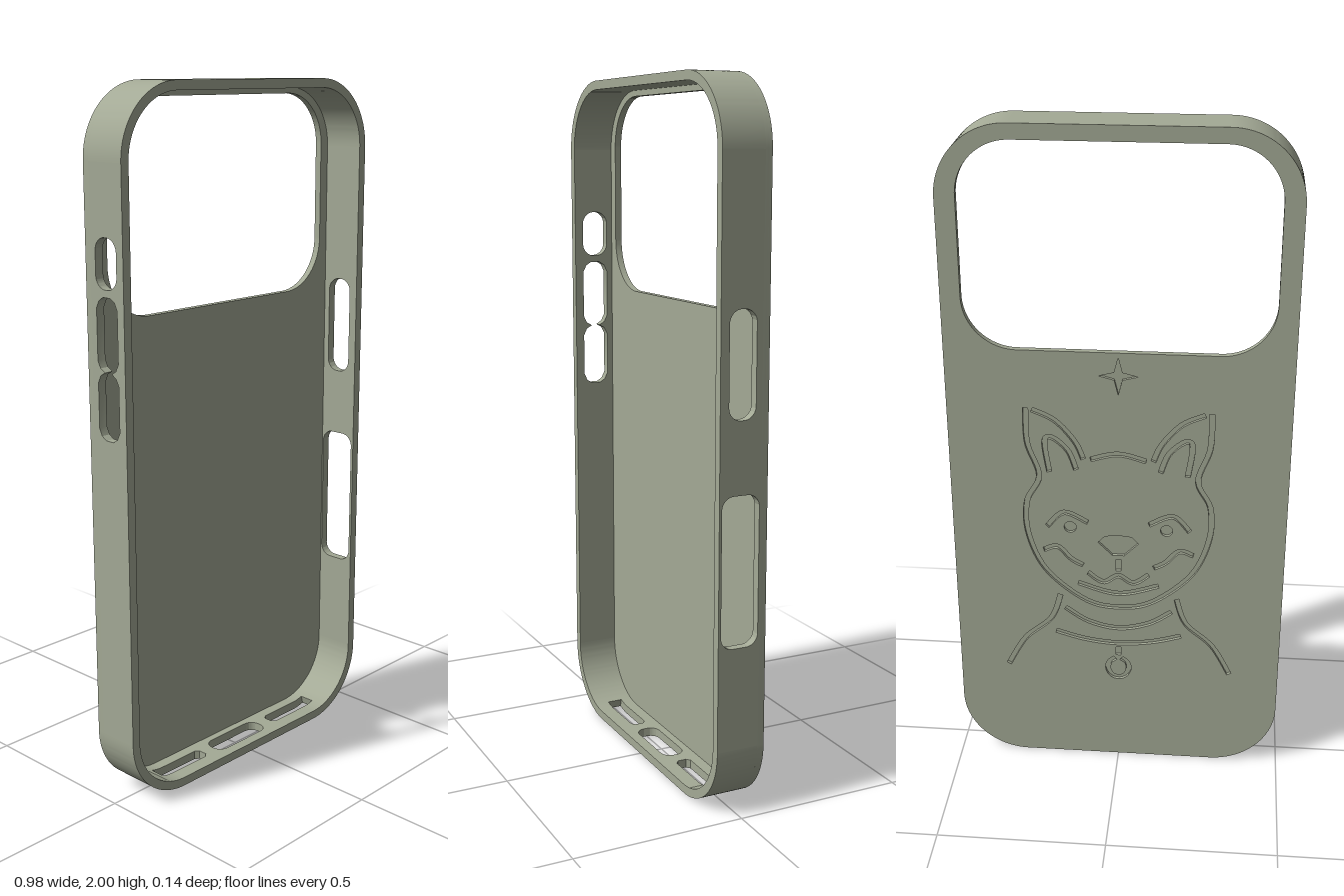
import * as THREE from 'three';
import { toCreasedNormals } from 'three/addons/utils/BufferGeometryUtils.js';

const W = 0.49, H = 2, D = 0.072, R = 0.2, T = 0.026; // half width, height, half depth, corner radius, wall
const GROOVE_Z = -0.062, FLOOR_Z = -0.052;
const V = (x, y) => new THREE.Vector2(x, y);

// Rounded rectangle between two corners
function roundRect(x0, y0, x1, y1, r, Type = THREE.Path) {
  const s = new Type();
  s.absarc(x1 - r, y0 + r, r, -Math.PI / 2, 0);
  s.absarc(x1 - r, y1 - r, r, 0, Math.PI / 2);
  s.absarc(x0 + r, y1 - r, r, Math.PI / 2, Math.PI);
  s.absarc(x0 + r, y0 + r, r, Math.PI, Math.PI * 1.5);
  s.closePath();
  return s;
}

// Closed ribbon outline that follows a smooth line
function ribbon(points, half = 0.0075) {
  const curve = new THREE.SplineCurve(points.map(p => V(...p)));
  const n = points.length * 6, a = [], b = [];
  for (let i = 0; i <= n; i++) {
    const p = curve.getPoint(i / n), t = curve.getTangent(i / n);
    a.push(V(p.x - t.y * half, p.y + t.x * half));
    b.push(V(p.x + t.y * half, p.y - t.x * half));
  }
  return new THREE.Path([...a, ...b.reverse()]);
}

const flip = pts => pts.map(([x, y]) => [-x, y]);
const symmetric = pts => [...pts, ...flip(pts.slice(0, -1)).reverse()]; // last point lies on the centre line

// Outlines of the engraved dog portrait
function engraving() {
  const single = [
    symmetric([[-0.264, 1.2], [-0.262, 1.09], [-0.23, 0.985], [-0.268, 0.9], [-0.266, 0.79], [-0.215, 0.67], [-0.1, 0.572], [0, 0.55]]), // head
    symmetric([[-0.08, 1.045], [0, 1.064]]),                    // crown
    symmetric([[-0.09, 0.667], [-0.045, 0.637], [0, 0.66]]),    // mouth
    [[0, 0.716], [0, 0.677]],                                   // muzzle line
    symmetric([[-0.12, 0.63], [0, 0.598]]),                     // chin
    symmetric([[-0.16, 0.54], [-0.09, 0.495], [0, 0.475]]),     // collar
    symmetric([[-0.19, 0.455], [-0.1, 0.43], [0, 0.42]]),
    [[0, 0.405], [0, 0.376]],                                   // tag link
    Array.from({ length: 9 }, (_, i) => {                       // tag
      const t = Math.PI / 2 + 0.3 + i / 8 * (Math.PI * 2 - 0.6);
      return [0.032 * Math.cos(t), 0.33 + 0.036 * Math.sin(t)];
    }),
  ];
  const paired = [
    [[0.246, 1.195], [0.18, 1.163], [0.125, 1.1], [0.101, 1.045]],               // ear
    [[0.2, 1.0], [0.212, 1.095], [0.19, 1.11], [0.145, 1.07], [0.122, 1.01]],    // inner ear
    [[0.21, 0.82], [0.16, 0.868], [0.09, 0.838]],                                // brow
    [[0.222, 0.74], [0.18, 0.752], [0.14, 0.712], [0.105, 0.692]],               // cheek
    [[0.175, 0.585], [0.205, 0.5], [0.285, 0.425], [0.341, 0.325]],              // shoulder
  ];
  const holes = [...single, ...paired, ...paired.map(flip)].map(p => ribbon(p));
  for (const s of [-1, 1]) holes.push(new THREE.Path().absarc(s * 0.142, 0.82, 0.018, 0, Math.PI * 2)); // eyes
  holes.push(new THREE.Path([[-0.06, 0.772], [-0.04, 0.793], [0, 0.798], [0.04, 0.793], [0.06, 0.772],
    [0.018, 0.73], [-0.018, 0.73]].map(p => V(...p)))); // nose
  holes.push(new THREE.Path(Array.from({ length: 8 }, (_, i) => { // star
    const r = i % 2 ? 0.016 : 0.056, t = i * Math.PI / 4;
    return V(r * Math.cos(t), 1.305 + r * Math.sin(t));
  })));
  return holes;
}

export function createModel() {
  const model = new THREE.Group();
  const sage = new THREE.MeshStandardMaterial({ color: 0xa4aa96 });
  sage.name = 'sage';

  const extrude = (name, shape, depth, matrix) => {
    const geo = new THREE.ExtrudeGeometry(shape, { depth, bevelEnabled: false, curveSegments: 16 });
    geo.applyMatrix4(matrix);
    const mesh = new THREE.Mesh(toCreasedNormals(geo, 0.5), sage);
    mesh.name = name;
    model.add(mesh);
  };
  const atZ = z => new THREE.Matrix4().makeTranslation(0, 0, z);

  // Back plate in two layers, so the engraving is a real groove
  const plate = extra => {
    const s = roundRect(-W, 0, W, H, R, THREE.Shape);
    s.holes.push(roundRect(-0.433, 1.375, 0.433, 1.957, 0.15), ...extra);
    return s;
  };
  extrude('engravedBack', plate(engraving()), GROOVE_Z + D, atZ(-D));
  extrude('backInner', plate([]), FLOOR_Z - GROOVE_Z, atZ(GROOVE_Z));

  const X = new THREE.Vector3(1, 0, 0), Y = new THREE.Vector3(0, 1, 0), Z = new THREE.Vector3(0, 0, 1);

  // Side walls, drawn as (y, z) and extruded along x
  const sideWall = (name, x, holes) => {
    const s = new THREE.Shape([V(R, FLOOR_Z), V(H - R, FLOOR_Z), V(H - R, D), V(R, D)]);
    s.holes.push(...holes);
    extrude(name, s, T, new THREE.Matrix4().makeBasis(Y, Z, X).setPosition(x, 0, 0));
  };
  sideWall('leftWall', W - T, [
    roundRect(1.11, -0.034, 1.4, 0.046, 0.036),
    roundRect(0.49, -0.048, 0.91, 0.064, 0.035),
  ]);
  // Two volume openings joined at a narrow waist
  const waist = [[1.07, 0.014], [1.08, 0.03], [1.1, 0.04], [1.225, 0.04], [1.245, 0.03], [1.255, 0.013],
    [1.265, 0.03], [1.285, 0.04], [1.425, 0.04], [1.445, 0.03], [1.455, 0.014]];
  sideWall('rightWall', -W, [
    new THREE.Path([...waist.map(([y, h]) => V(y, 0.006 - h)), ...waist.map(([y, h]) => V(y, 0.006 + h)).reverse()]),
    roundRect(1.475, -0.034, 1.61, 0.046, 0.036),
  ]);

  // Top and bottom walls, drawn as (z, x) and extruded along y
  const c = W - R, s0 = -0.018, s1 = 0.028; // corner centre, speaker slot z range
  const across = y => new THREE.Matrix4().makeBasis(Z, X, Y).setPosition(0, y, 0);
  extrude('topWall', new THREE.Shape([V(FLOOR_Z, -c), V(D, -c), V(D, c), V(FLOOR_Z, c)]), T, across(H - T));
  const slotEnd = [[s1, c], [s1, 0.16], [s1 - 0.01, 0.148], [s0 + 0.01, 0.148], [s0, 0.16], [s0, c]];
  const bottom = new THREE.Shape([
    V(FLOOR_Z, -c), ...slotEnd.map(([z, x]) => V(z, -x)).reverse(), V(D, -c),
    V(D, c), ...slotEnd.map(([z, x]) => V(z, x)), V(FLOOR_Z, c),
  ]);
  bottom.holes.push(roundRect(-0.029, -0.105, 0.039, 0.105, 0.03));
  extrude('bottomWall', bottom, T, across(0));

  // Corner walls; the bottom ones carry the outer ends of the speaker slots
  const corner = (sx, y, a0, a1, z0, z1) => {
    const s = new THREE.Shape();
    const from = sx > 0 ? a0 : Math.PI - a1, to = sx > 0 ? a1 : Math.PI - a0;
    s.absarc(sx * c, y, R, from, to, false);
    s.absarc(sx * c, y, R - T, to, from, true);
    s.closePath();
    extrude('cornerWall', s, z1 - z0, atZ(z0));
  };
  const q = Math.PI / 2, slot = 0.27;
  for (const sx of [-1, 1]) {
    corner(sx, H - R, 0, q, FLOOR_Z, D);
    corner(sx, R, -q + slot, 0, FLOOR_Z, D);
    corner(sx, R, -q, -q + slot, FLOOR_Z, s0);
    corner(sx, R, -q, -q + slot, s1, D);
  }
  return model;
}
